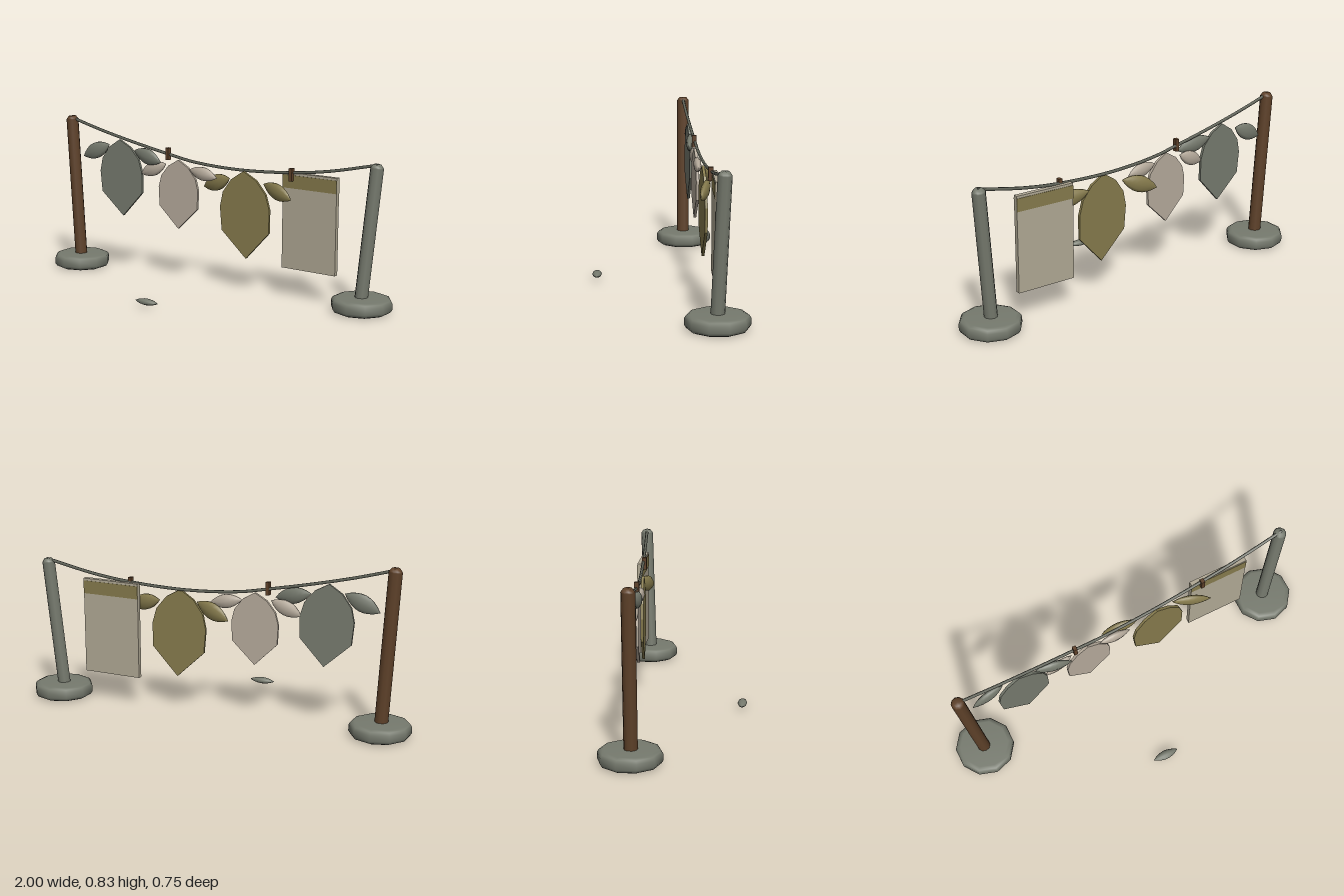
import * as THREE from 'three';

const mat = (name, color) => {
  const m = new THREE.MeshStandardMaterial({ color });
  m.name = name;
  return m;
};

export function createModel() {
  const stone = mat('grey stone', 0x767a6e);
  const wood = mat('brown wood', 0x5e4129);
  const cord = mat('dark cord', 0x62655a);
  const beige = mat('beige cloth', 0xb5aa9b);
  const olive = mat('olive cloth', 0x857a4c);
  const paper = mat('pale sheet', 0xb0a894);

  const root = new THREE.Group();
  root.name = 'hangingLine';
  const V = (x, y, z) => new THREE.Vector3(x, y, z);
  const add = (name, geo, material, x = 0, y = 0, z = 0) => {
    const m = new THREE.Mesh(geo, material);
    m.name = name;
    m.position.set(x, y, z);
    root.add(m);
    return m;
  };
  const lathe = (pts, sides) =>
    new THREE.LatheGeometry(pts.map(p => new THREE.Vector2(...p)), sides);

  // Round stone feet
  const foot = lathe([[0, 0], [0.125, 0], [0.143, 0.008], [0.152, 0.022], [0.152, 0.052],
    [0.143, 0.066], [0.125, 0.073], [0, 0.073]], 10);
  add('rightFoot', foot, stone, -0.855, 0, -0.12);
  add('leftFoot', foot, stone, 0.855, 0, -0.222);

  // Leaning posts with chamfered tops
  const post = (name, a, b, material) => {
    const len = a.distanceTo(b), r = 0.033;
    const m = add(name, lathe([[0, 0], [r, 0], [r, 0], [r, len - 0.018], [r - 0.004, len - 0.012],
      [r - 0.013, len], [0, len]], 10), material, a.x, a.y, a.z);
    m.quaternion.setFromUnitVectors(V(0, 1, 0), b.clone().sub(a).normalize());
  };
  post('rightPost', V(-0.857, 0.04, -0.117), V(-0.907, 0.831, -0.117), wood);
  post('leftPost', V(0.85, 0.04, -0.221), V(0.908, 0.73, -0.247), stone);

  // Sagging rope between the post tops
  const ropeZ = x => -0.117 - 0.129 * (x + 0.9) / 1.81;
  const ropePts = [[-0.91, 0.822], [-0.72, 0.77], [-0.5, 0.719], [-0.285, 0.676], [-0.13, 0.648],
    [0.14, 0.632], [0.446, 0.646], [0.65, 0.672], [0.915, 0.728]].map(([x, y]) => V(x, y, ropeZ(x)));
  add('rope', new THREE.TubeGeometry(new THREE.CatmullRomCurve3(ropePts), 36, 0.008, 6), cord);

  // Large flat leaves, hung from their top point
  const side = [[0.5, 0.1], [0.85, 0.25], [0.98, 0.42], [0.94, 0.69]];
  const outline = [[0, 0], ...side, [0, 1], ...side.map(([u, v]) => [-u, v]).reverse()];
  const leaf = (name, material, x, y, z, w, h, roll) => {
    const shape = new THREE.Shape(outline.map(([u, v]) => new THREE.Vector2(u * w, -v * h)));
    const geo = new THREE.ExtrudeGeometry(shape, { depth: 0.014, bevelEnabled: false });
    geo.translate(0, 0, -0.007);
    add(name, geo, material, x, y, z).rotation.set(0, 0.07, roll);
  };
  leaf('greyLeaf', stone, -0.588, 0.727, -0.137, 0.138, 0.412, 0.05);
  leaf('beigeLeaf', beige, -0.213, 0.651, -0.16, 0.124, 0.366, 0);
  leaf('oliveLeaf', olive, 0.182, 0.63, -0.183, 0.147, 0.452, 0.04);

  // Small pointed pods, long axis along x
  const podProfile = [];
  for (let i = 0; i <= 8; i++) {
    const t = i / 8;
    podProfile.push([Math.sin(Math.PI * t) ** 0.85, t * 2 - 1]);
  }
  const podGeo = lathe(podProfile, 10).rotateZ(-Math.PI / 2);
  const pod = (name, material, [x, y, z], len, h, d, roll, yaw) => {
    const m = add(name, podGeo, material, x, y, z);
    m.scale.set(len, h, d);
    m.rotation.set(0, yaw, roll, 'YXZ');
  };
  pod('greyPodOuter', stone, [-0.757, 0.652, -0.142], 0.096, 0.044, 0.018, 0.42, 0.07);
  pod('greyPodInner', stone, [-0.405, 0.652, -0.14], 0.1, 0.042, 0.02, -0.22, -0.1);
  pod('beigePodBack', beige, [-0.375, 0.588, -0.155], 0.085, 0.038, 0.018, 0.4, 0.1);
  pod('beigePodFront', beige, [-0.06, 0.592, -0.165], 0.087, 0.036, 0.02, -0.17, 0.05);
  pod('olivePodBack', olive, [-0.01, 0.546, -0.217], 0.102, 0.044, 0.02, 0.34, -0.18);
  pod('olivePodFront', olive, [0.382, 0.545, -0.185], 0.106, 0.042, 0.02, -0.25, -0.25);
  pod('fallenPod', stone, [-0.03, 0.03, 0.348], 0.07, 0.016, 0.024, 0, 0);

  // Hanging sheet with a band on both faces
  add('sheet', new THREE.BoxGeometry(0.31, 0.49, 0.024), paper, 0.55, 0.4, -0.227);
  for (const s of [1, -1]) {
    add(s > 0 ? 'frontBand' : 'backBand', new THREE.BoxGeometry(0.31, 0.066, 0.003), olive,
      0.55, 0.6, -0.227 + s * 0.0125);
  }

  // Wooden clips on the rope
  const clip = new THREE.BoxGeometry(0.019, 0.064, 0.024);
  add('rightClip', clip, wood, -0.28, 0.677, -0.157);
  add('leftClip', clip, wood, 0.45, 0.637, -0.207);

  return root;
}
